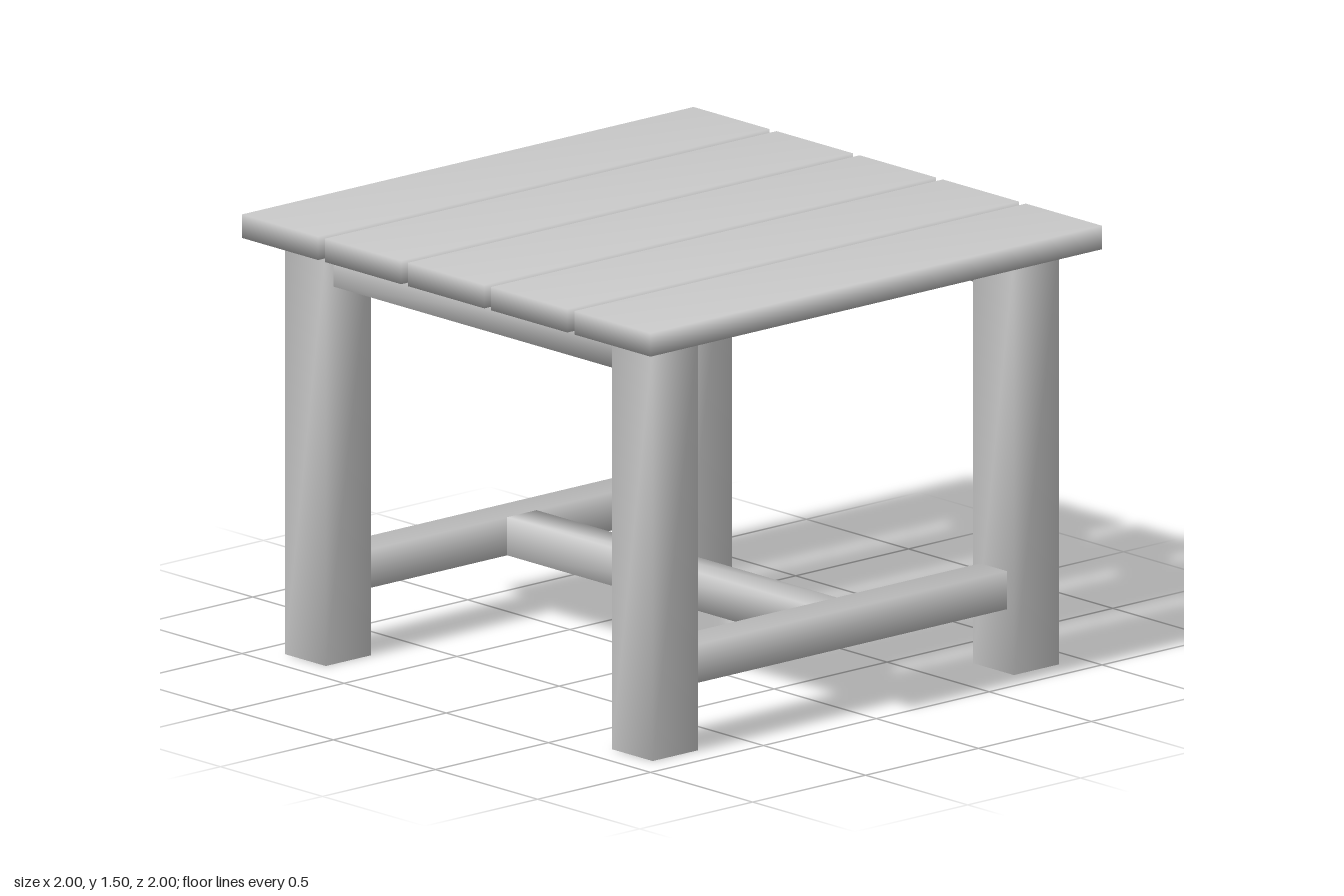
import * as THREE from 'three';
import { mergeVertices } from 'three/addons/utils/BufferGeometryUtils.js';

const material = new THREE.MeshStandardMaterial({ color: 0xcccccc });

// Box with welded corners, so the shading runs smoothly round the beam.
function beam(name, width, height, depth, x, y, z) {
  const box = new THREE.BoxGeometry(width, height, depth);
  box.deleteAttribute('normal');
  box.deleteAttribute('uv');
  const geometry = mergeVertices(box);
  geometry.computeVertexNormals();
  const mesh = new THREE.Mesh(geometry, material);
  mesh.name = name;
  mesh.position.set(x, y, z);
  return mesh;
}

export function createModel() {
  const table = new THREE.Group();
  table.name = 'slattedTable';

  const legTop = 1.415;
  const legSize = 0.2;
  const legOffset = 0.8;
  const rail = 0.13;
  const span = 2 * legOffset - legSize;
  const lowY = 0.282;

  // Tabletop planks with narrow gaps
  const plankWidth = 0.373;
  const pitch = (2 - plankWidth) / 4;
  for (let i = 0; i < 5; i++) {
    table.add(beam(`plank${i + 1}`, plankWidth, 0.08, 2, (i - 2) * pitch, legTop + 0.04, 0));
  }

  // Legs
  for (const [side, sx] of [['left', 1], ['right', -1]]) {
    for (const [end, sz] of [['Front', 1], ['Back', -1]]) {
      table.add(beam(`${side}${end}Leg`, legSize, legTop, legSize, sx * legOffset, legTop / 2, sz * legOffset));
    }
    // Low rail between the front and back leg
    table.add(beam(`${side}LowRail`, rail, rail, span, sx * legOffset, lowY, 0));
  }

  // Rails under the planks, front and back
  for (const [end, sz] of [['front', 1], ['back', -1]]) {
    table.add(beam(`${end}TopRail`, span, rail, rail, 0, legTop - rail / 2, sz * legOffset));
  }

  // Cross stretcher joining the two low rails
  table.add(beam('crossStretcher', 2 * legOffset - rail, rail, rail, 0, lowY, 0));

  return table;
}
